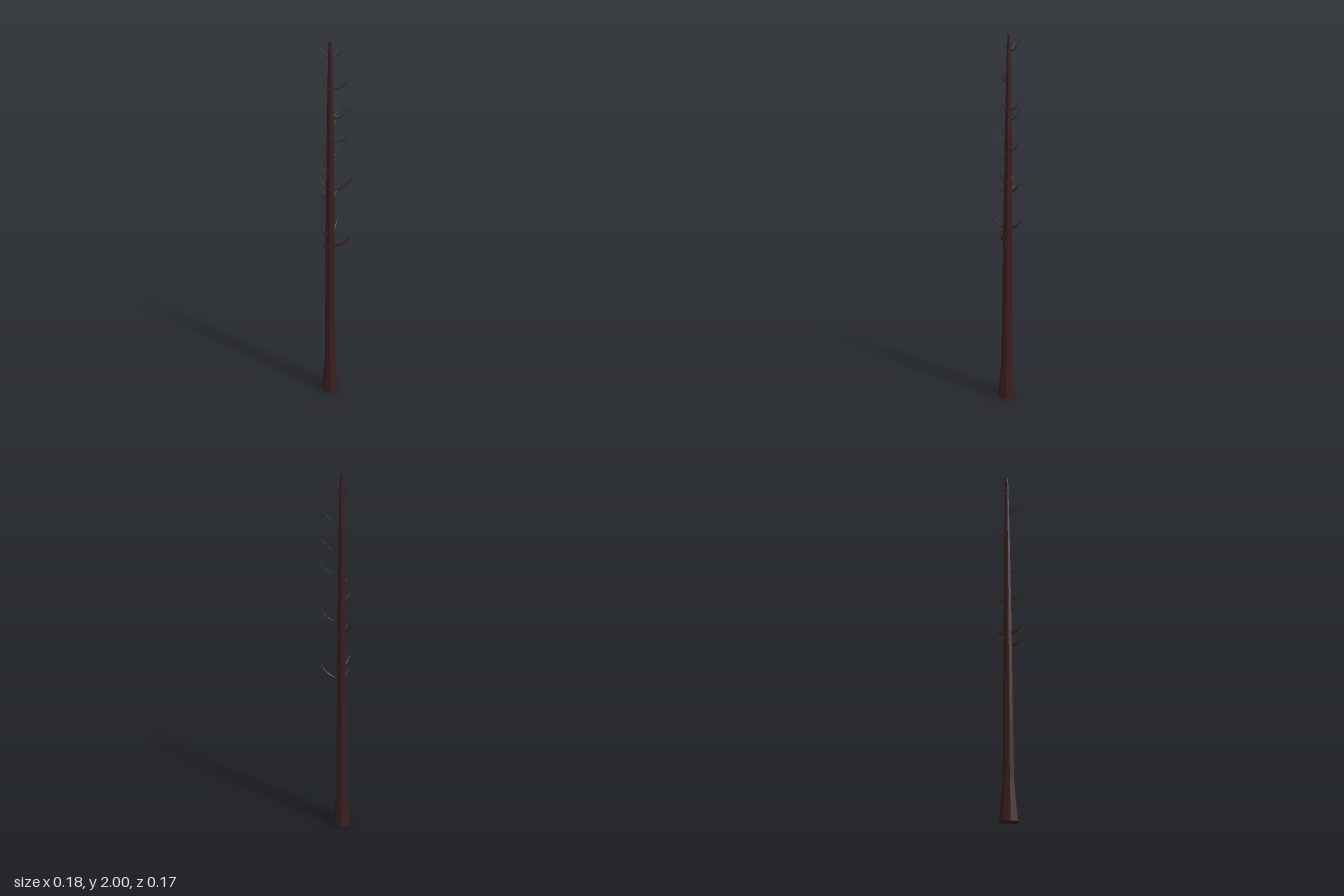
import * as THREE from 'three';

const bark = new THREE.MeshStandardMaterial({ color: 0x3a1e21, flatShading: true });
const TRUNK_X = -0.027;

// The trunk leans slightly backwards as it rises
const trunkZ = (y) => 0.008 - 0.0065 * y;

function makeTrunk() {
  const profile = [
    [0, 0], [0.05, 0], [0.041, 0.09], [0.031, 0.2], [0.028, 0.5], [0.024, 1],
    [0.018, 1.5], [0.013, 1.8], [0.008, 2], [0, 2],
  ].map(([r, y]) => new THREE.Vector2(r, y));
  const geo = new THREE.LatheGeometry(profile, 8, Math.PI / 8);
  const p = geo.attributes.position;
  for (let i = 0; i < p.count; i++) {
    p.setXYZ(i, p.getX(i) + TRUNK_X, p.getY(i), p.getZ(i) + trunkZ(p.getY(i)));
  }
  geo.computeVertexNormals();
  const trunk = new THREE.Mesh(geo, bark);
  trunk.name = 'trunk';
  return trunk;
}

// Upswept branch: a tube whose rings shrink towards the tip
function makeBranch(y, tipX, tipZ, rise) {
  const base = new THREE.Vector3(TRUNK_X, y + 0.004, trunkZ(y));
  const tip = new THREE.Vector3(tipX, y + rise, tipZ);
  const at = (t, h) => base.clone().lerp(tip, t).setY(y + h * rise);
  const curve = new THREE.CatmullRomCurve3([base, at(0.3, 0.04), at(0.65, 0.34), tip]);
  const radius = THREE.MathUtils.clamp(0.0085 - (y - 0.92) * 0.011, 0.0032, 0.0085);
  const steps = 8, sides = 5;
  const geo = new THREE.TubeGeometry(curve, steps, radius, sides);
  const p = geo.attributes.position, v = new THREE.Vector3();
  for (let i = 0; i < p.count; i++) {
    const t = Math.floor(i / (sides + 1)) / steps;
    const centre = curve.getPointAt(t);
    v.fromBufferAttribute(p, i).sub(centre).multiplyScalar(1 - 0.75 * t).add(centre);
    p.setXYZ(i, v.x, v.y, v.z);
  }
  geo.computeVertexNormals();
  return new THREE.Mesh(geo, bark);
}

// Four rows of branches: [height, tip x, tip z, rise]
const rows = {
  leftBranch: [
    [0.92, 0.09, -0.015, 0.07], [1.24, 0.09, -0.014, 0.07], [1.495, 0.088, -0.016, 0.065],
    [1.62, 0.084, -0.014, 0.06], [1.77, 0.084, -0.016, 0.065], [1.925, 0.035, -0.012, 0.035],
  ],
  rightBranch: [
    [1.195, -0.091, -0.013, 0.04], [1.24, -0.091, -0.012, 0.05], [1.32, -0.091, -0.014, 0.05],
    [1.48, -0.087, -0.013, 0.06], [1.925, -0.083, -0.012, 0.045],
  ],
  frontBranch: [
    [0.92, -0.032, 0.085, 0.04], [0.99, -0.04, 0.082, 0.04], [1.19, -0.03, 0.08, 0.04],
    [1.36, -0.042, 0.075, 0.035], [1.455, -0.036, 0.076, 0.04], [1.77, -0.032, 0.07, 0.04],
  ],
  backBranch: [
    [0.99, -0.02, -0.084, 0.06], [1.19, -0.012, -0.078, 0.06], [1.41, -0.004, -0.08, 0.06],
    [1.57, -0.016, -0.074, 0.06], [1.62, -0.008, -0.078, 0.06], [1.92, -0.012, -0.073, 0.06],
  ],
};

export function createModel() {
  const model = new THREE.Group();
  model.name = 'bareTree';
  model.add(makeTrunk());
  for (const [name, list] of Object.entries(rows)) {
    const row = new THREE.Group();
    row.name = name + 'es';
    list.forEach((spec, i) => {
      const branch = makeBranch(...spec);
      branch.name = name + (i + 1);
      row.add(branch);
    });
    model.add(row);
  }
  return model;
}
